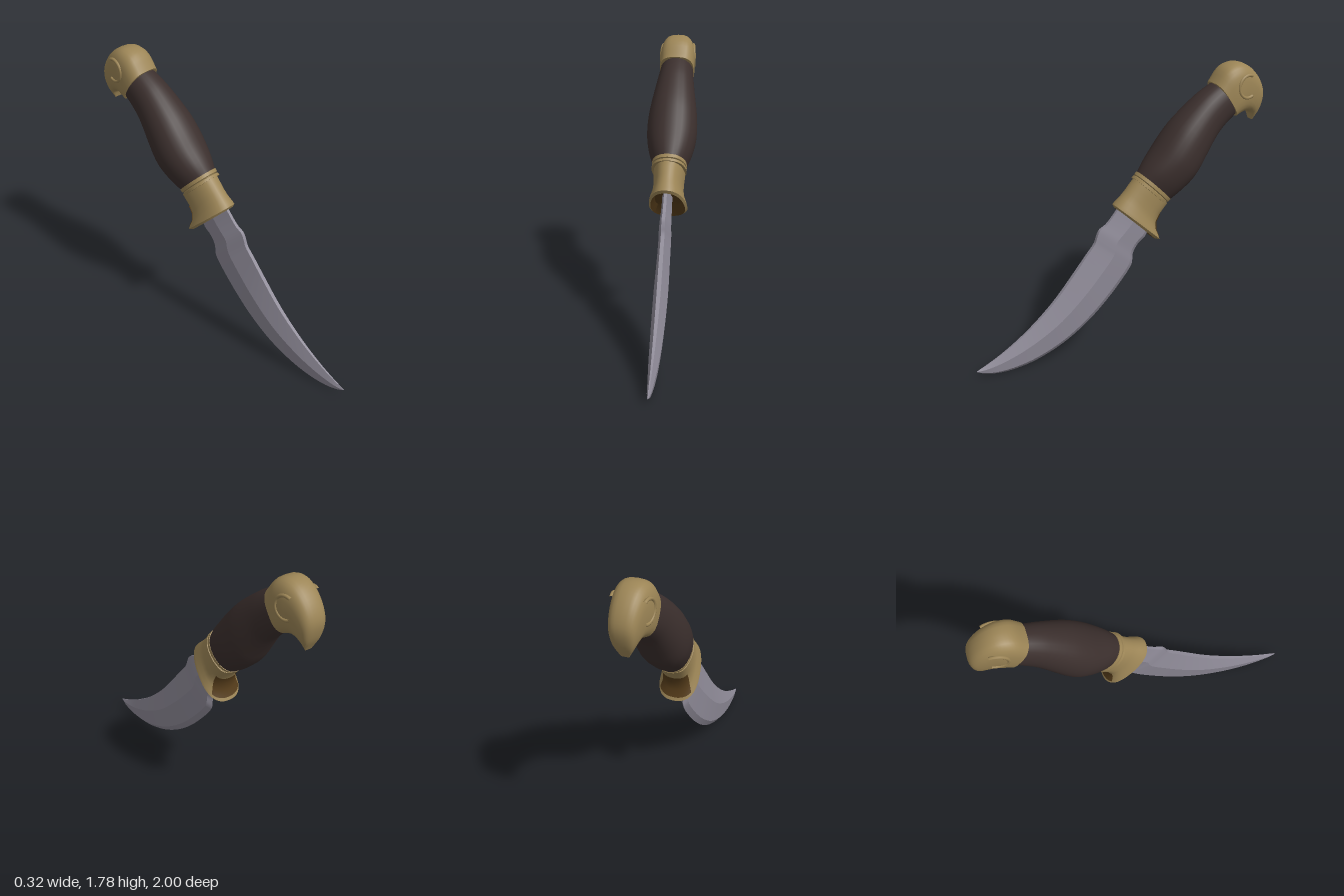
import * as THREE from 'three';
import { toCreasedNormals } from 'three/addons/utils/BufferGeometryUtils.js';

const material = (name, color, side = THREE.FrontSide) => {
  const m = new THREE.MeshStandardMaterial({ color, side });
  m.name = name;
  return m;
};

// Ring of [t, w]: t runs from the upper edge (0) to the lower edge (1), w is the share of half width.
function roundRing(n, power = 2, taper = 0, from = 0, to = Math.PI * 2) {
  const ring = [];
  const closed = to - from > 6.28;
  for (let i = 0; i < n + (closed ? 0 : 1); i++) {
    const a = from + ((to - from) * i) / n;
    const s = Math.sin(a), c = Math.cos(a), e = 2 / power;
    const t = 0.5 - 0.5 * Math.sign(c) * Math.abs(c) ** e;
    ring.push([t, Math.sign(s) * Math.abs(s) ** e * (1 + taper * (t - 0.5))]);
  }
  return ring;
}

// Sections are [upper z, upper y, lower z, lower y, half width]; this refines them along splines.
function smooth(sections, n) {
  const upper = new THREE.CatmullRomCurve3(sections.map(s => new THREE.Vector3(s[4], s[1], s[0])));
  const lower = new THREE.CatmullRomCurve3(sections.map(s => new THREE.Vector3(s[4], s[3], s[2])));
  return Array.from({ length: n + 1 }, (_, i) => {
    const u = upper.getPoint(i / n), l = lower.getPoint(i / n);
    return [u.z, u.y, l.z, l.y, u.x];
  });
}

// Skins a ring through all sections, with optional end caps.
function loft(sections, ring, { start = true, end = true, closed = true, crease = 0.6 } = {}) {
  const pos = [], index = [], n = ring.length, last = sections.length - 1;
  for (const [z1, y1, z2, y2, hw] of sections)
    for (const [t, w] of ring) pos.push(w * hw, y1 + (y2 - y1) * t, z1 + (z2 - z1) * t);
  for (let i = 0; i < last; i++)
    for (let j = 0; j < (closed ? n : n - 1); j++) {
      const k = (j + 1) % n, a = i * n + j, b = i * n + k;
      index.push(a, b, b + n, a, b + n, a + n);
    }
  const cap = (i, flip) => {
    const [z1, y1, z2, y2] = sections[i], c = pos.length / 3;
    pos.push(0, (y1 + y2) / 2, (z1 + z2) / 2);
    for (let j = 0; j < n; j++) {
      const a = i * n + j, b = i * n + ((j + 1) % n);
      index.push(c, flip ? b : a, flip ? a : b);
    }
  };
  if (start) cap(0, true);
  if (end) cap(last, false);
  const g = new THREE.BufferGeometry();
  g.setAttribute('position', new THREE.Float32BufferAttribute(pos, 3));
  g.setIndex(index);
  return toCreasedNormals(g, crease);
}

export function createModel() {
  const model = new THREE.Group();
  model.name = 'dagger';
  const steel = material('steel', 0x8f8b98);
  const brass = material('brass', 0x9c8556);
  const wood = material('dark wood', 0x3b2f2d);
  const bronze = material('dark bronze', 0x553c1a, THREE.DoubleSide);
  const add = (name, geometry, mat) => {
    const mesh = new THREE.Mesh(geometry, mat);
    mesh.name = name;
    model.add(mesh);
    return mesh;
  };

  // Curved blade: thin spine, thick ridge, narrow edge bevel
  const bladeRing = [[0, 0.28], [0.45, 1], [0.89, 0.62], [1, 0], [0.89, -0.62], [0.45, -1], [0, -0.28]];
  add('blade', loft(smooth([
    [1.0, 0.05, 1.0, 0.045, 0.003],
    [0.94, 0.075, 0.95, 0.022, 0.012],
    [0.83, 0.13, 0.86, 0.003, 0.02],
    [0.7, 0.212, 0.74, 0.004, 0.03],
    [0.58, 0.305, 0.6, 0.03, 0.037],
    [0.46, 0.417, 0.42, 0.1, 0.043],
    [0.33, 0.567, 0.246, 0.21, 0.045],
    [0.25, 0.665, 0.08, 0.36, 0.042],
    [0.19, 0.738, -0.064, 0.53, 0.04],
    [0.175, 0.78, -0.076, 0.56, 0.04],
    [0.155, 0.82, -0.082, 0.62, 0.038],
    [0.107, 0.85, -0.12, 0.68, 0.036],
    [0.03, 0.936, -0.17, 0.72, 0.033],
    [-0.02, 1.0, -0.2, 0.79, 0.033],
  ], 52), bladeRing, { crease: 0.22 }), steel);

  // Flared guard with a hollow front and a hooked lower lip
  const lip = [0.04, 0.945, -0.215, 0.708, 0.108];
  const bell = [
    lip,
    [0.05, 0.968, -0.25, 0.7, 0.12],
    [0.035, 0.985, -0.24, 0.725, 0.115],
    [0.0, 1.015, -0.222, 0.77, 0.1],
    [-0.035, 1.05, -0.222, 0.82, 0.094],
    [-0.07, 1.09, -0.245, 0.865, 0.095],
    [-0.11, 1.13, -0.3, 0.93, 0.1],
  ];
  add('guard', loft(bell, roundRing(32, 2.4, 0.35), { start: false }), brass);
  add('guardSocket', loft([[-0.01, 0.95, -0.185, 0.785, 0.08], lip],
    roundRing(32, 2.4, 0.35), { end: false }), bronze);

  // Dark inlay in the hollow under the guard
  const inlay = bell.slice(2, 6).map(([a, b, c, d, w]) => [a, b, c - 0.004, d - 0.004, w + 0.003]);
  add('guardInlay', loft(inlay, roundRing(12, 2.4, 0.35, Math.PI * 0.74, Math.PI * 1.26),
    { start: false, end: false, closed: false }), bronze);

  // Double collar between guard and grip
  const collar = [0, 0.35, 0.45, 0.55, 1].map((t, i) => {
    const out = i === 2 ? -0.008 : 0.004;
    return [-0.092 - 0.033 * t + out * 0.7, 1.117 + 0.035 * t + out * 0.7,
      -0.288 - 0.04 * t - out * 0.7, 0.922 + 0.03 * t - out * 0.7, 0.107 + out];
  });
  add('collar', loft(collar, roundRing(32, 2.2)), brass);

  // Swelling wooden grip
  add('grip', loft(smooth([
    [-0.118, 1.14, -0.32, 0.945, 0.105],
    [-0.165, 1.205, -0.39, 0.995, 0.135],
    [-0.235, 1.29, -0.476, 1.07, 0.158],
    [-0.305, 1.378, -0.52, 1.125, 0.161],
    [-0.38, 1.46, -0.565, 1.195, 0.153],
    [-0.53, 1.585, -0.655, 1.325, 0.127],
    [-0.6, 1.63, -0.72, 1.388, 0.116],
    [-0.665, 1.665, -0.795, 1.445, 0.107],
  ], 24), roundRing(28, 2.15)), wood);

  // Pommel fanning round into a hooked beak
  add('pommel', loft(smooth([
    [-0.643, 1.663, -0.793, 1.437, 0.112],
    [-0.717, 1.755, -0.805, 1.443, 0.114],
    [-0.8, 1.78, -0.82, 1.449, 0.11],
    [-0.877, 1.757, -0.838, 1.455, 0.102],
    [-0.957, 1.68, -0.858, 1.46, 0.092],
    [-0.997, 1.583, -0.885, 1.457, 0.08],
    [-0.98, 1.476, -0.915, 1.44, 0.06],
    [-0.936, 1.39, -0.932, 1.392, 0.025],
  ], 30), roundRing(28, 2.9)), brass);

  // Raised crescent on each side of the pommel
  for (const side of [1, -1]) {
    const crescent = new THREE.TorusGeometry(0.072, 0.011, 8, 28, Math.PI * 1.3);
    crescent.rotateZ(Math.PI * 0.36);
    crescent.rotateY(Math.PI / 2);
    const mesh = add(side > 0 ? 'leftCrescent' : 'rightCrescent', crescent, brass);
    mesh.position.set(side * 0.1, 1.635, -0.845);
    mesh.rotation.y = side * 0.13;
  }
  return model;
}
